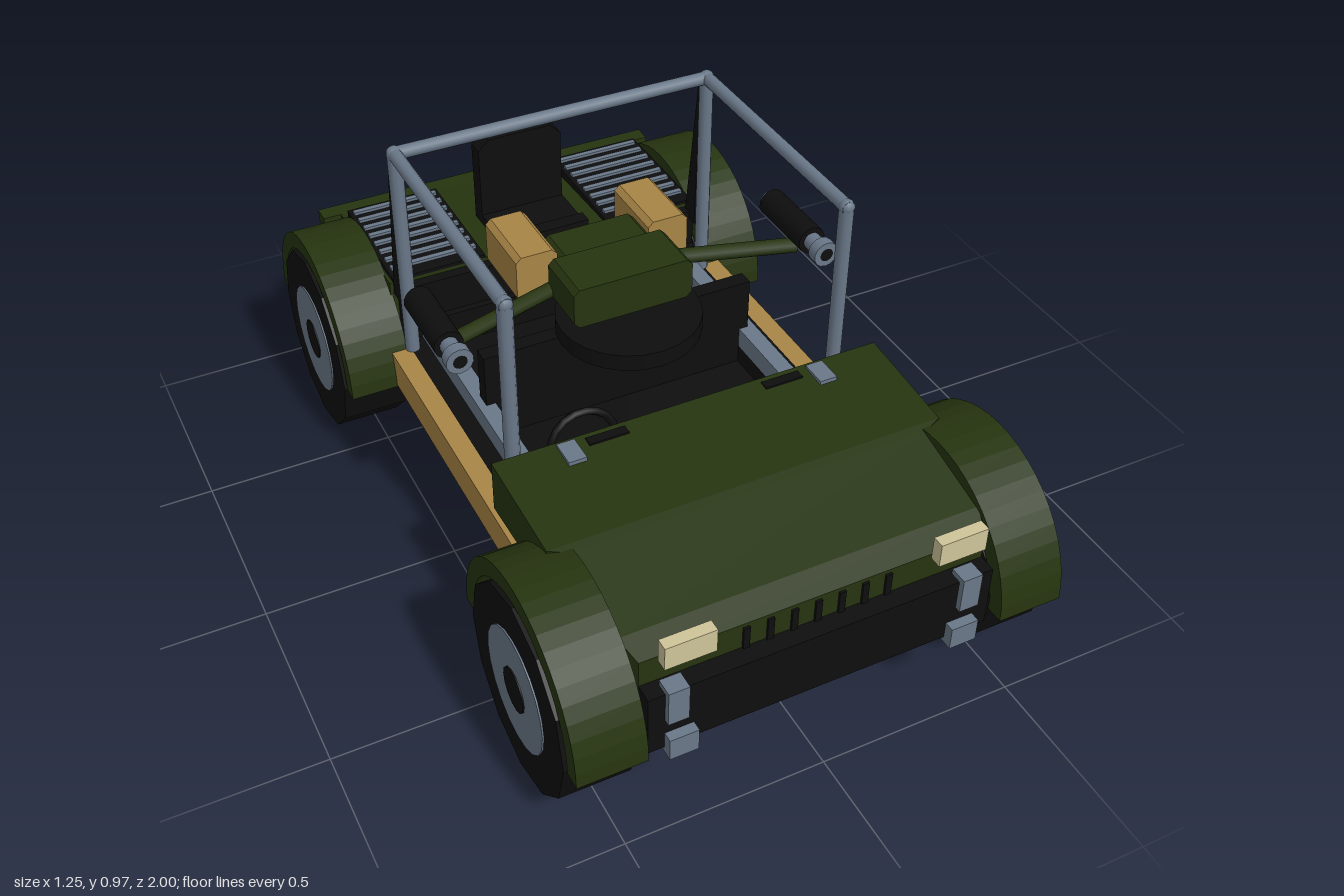
import * as THREE from 'three';

const paint = (name, color) => {
  const m = new THREE.MeshStandardMaterial({ color });
  m.name = name;
  return m;
};

export function createModel() {
  const green = paint('olive green', 0x26340f);
  const black = paint('black', 0x0e0e0e);
  const steel = paint('steel grey', 0x6a7889);
  const tan = paint('tan', 0xa88545);
  const cream = paint('lamp cream', 0xcfc59a);
  const red = paint('tail lamp red', 0x8a0c12);
  const model = new THREE.Group();
  model.name = 'buggy';

  const add = (name, geo, mat, x = 0, y = 0, z = 0) => {
    const m = new THREE.Mesh(geo, mat);
    m.name = name;
    m.position.set(x, y, z);
    model.add(m);
    return m;
  };
  // Box given by its limits on each axis
  const box = (name, mat, x0, x1, y0, y1, z0, z1) =>
    add(name, new THREE.BoxGeometry(Math.abs(x1 - x0), y1 - y0, z1 - z0), mat,
      (x0 + x1) / 2, (y0 + y1) / 2, (z0 + z1) / 2);
  // Round bar between two points
  const bar = (name, mat, a, b, r, sides = 10) => {
    const p = new THREE.Vector3(...a), q = new THREE.Vector3(...b);
    const m = add(name, new THREE.CylinderGeometry(r, r, p.distanceTo(q), sides), mat);
    m.position.copy(p).add(q).multiplyScalar(0.5);
    m.quaternion.setFromUnitVectors(new THREE.Vector3(0, 1, 0), q.sub(p).normalize());
    return m;
  };
  // Side profile in (z, y), extruded across x from x0 to x0 + width
  const sideExtrude = (shape, x0, width, curveSegments = 12) => {
    const g = new THREE.ExtrudeGeometry(shape, { depth: width, bevelEnabled: false, curveSegments });
    g.rotateY(-Math.PI / 2);
    g.translate(x0 + width, 0, 0);
    return g;
  };
  const polygon = (pts) => new THREE.Shape(pts.map((p) => new THREE.Vector2(...p)));
  // Box with cut corners along z
  const cutBox = (w, h, d, c) => {
    const x = w / 2, y = h / 2;
    const s = polygon([[-x + c, -y], [x - c, -y], [x, -y + c], [x, y - c],
      [x - c, y], [-x + c, y], [-x, y - c], [-x, -y + c]]);
    const g = new THREE.ExtrudeGeometry(s, { depth: d, bevelEnabled: false });
    g.translate(0, 0, -d / 2);
    return g;
  };
  // Panel body from sections [z, half width, top, bottom], z rising
  const loft = (sections) => {
    const pos = [], idx = [];
    for (const [z, w, t, b] of sections) pos.push(-w, b, z, w, b, z, w, t, z, -w, t, z);
    for (let i = 0; i < sections.length - 1; i++) {
      for (let j = 0; j < 4; j++) {
        const a = i * 4 + j, c = i * 4 + (j + 1) % 4;
        idx.push(a, c, c + 4, a, c + 4, a + 4);
      }
    }
    const n = (sections.length - 1) * 4;
    idx.push(0, 2, 1, 0, 3, 2, n, n + 1, n + 2, n, n + 2, n + 3);
    const g = new THREE.BufferGeometry();
    g.setAttribute('position', new THREE.Float32BufferAttribute(pos, 3));
    g.setIndex(idx);
    const flat = g.toNonIndexed();
    flat.computeVertexNormals();
    return flat;
  };

  // Chassis
  box('floor', black, -0.44, 0.44, 0.235, 0.3, -0.96, 0.96);
  box('frontChassis', black, -0.43, 0.43, 0.225, 0.39, 0.45, 0.965);
  box('rearChassis', black, -0.43, 0.43, 0.235, 0.395, -0.975, -0.45);
  box('rearBulkhead', black, -0.43, 0.43, 0.3, 0.5, -0.5, -0.47);

  // Bonnet and rear deck
  add('bonnet', loft([[0.33, 0.505, 0.565, 0.43], [0.62, 0.5, 0.545, 0.43],
    [0.64, 0.455, 0.54, 0.39], [0.86, 0.45, 0.485, 0.385], [0.92, 0.43, 0.46, 0.385]]), green);
  add('rearDeck', loft([[-0.955, 0.45, 0.46, 0.37], [-0.9, 0.45, 0.49, 0.37],
    [-0.5, 0.45, 0.51, 0.37]]), green);
  box('rearLip', green, -0.5, 0.5, 0.455, 0.49, -0.95, -0.9);
  for (let i = -3; i <= 3; i++) {
    box('grilleSlot', black, i * 0.059 - 0.008, i * 0.059 + 0.008, 0.36, 0.45, 0.918, 0.926);
  }

  // Wheels and mudguards
  const arch = new THREE.Shape();
  arch.absarc(0, 0, 0.3, 0, Math.PI, false);
  arch.absarc(0, 0, 0.255, Math.PI, 0, true);
  const disc = (r, w, n) => new THREE.CylinderGeometry(r, r, w, n).rotateZ(Math.PI / 2);
  const tyre = new THREE.CylinderGeometry(0.25, 0.25, 0.172, 12).rotateZ(Math.PI / 2);
  const tyreMat = black;

  for (const s of [-1, 1]) {
    for (const z of [-0.7, 0.7]) {
      const t = add('tyre', tyre, tyreMat, s * 0.531, 0.25, z);
      t.geometry = tyre.toNonIndexed();
      t.geometry.computeVertexNormals();
      add('rim', disc(0.15, 0.008, 20), steel, s * 0.617, 0.25, z);
      add('hub', disc(0.055, 0.008, 14), black, s * 0.62, 0.25, z);
      add('mudguard', sideExtrude(arch, s > 0 ? 0.445 : -0.611, 0.166), green, 0, 0.25, z);
      bar('suspensionArm', steel, [s * 0.445, 0.205, z], [s * 0.335, 0.155, z], 0.015);
    }

    // Sills and lower rails
    box('sill', tan, s * 0.435, s * 0.487, 0.255, 0.35, -0.48, 0.48);
    box('sillBase', black, s * 0.43, s * 0.48, 0.235, 0.255, -0.48, 0.48);
    box('lowerRail', steel, s * 0.345, s * 0.39, 0.35, 0.405, -0.5, 0.5);
    box('railWeb', black, s * 0.345, s * 0.435, 0.3, 0.35, -0.48, 0.48);

    // Roll cage
    bar('frontPost', steel, [s * 0.43, 0.35, 0.27], [s * 0.43, 0.945, 0.27], 0.019);
    bar('rearPost', steel, [s * 0.43, 0.35, -0.415], [s * 0.43, 0.945, -0.415], 0.019);
    bar('roofRail', steel, [s * 0.43, 0.945, 0.28], [s * 0.43, 0.945, -0.415], 0.018);
    add('cageJoint', new THREE.SphereGeometry(0.021, 10, 8), steel, s * 0.43, 0.945, -0.415);
    add('cageJoint', new THREE.SphereGeometry(0.02, 10, 8), steel, s * 0.43, 0.945, 0.27);
    add('postBrace', sideExtrude(polygon([[-0.425, 0.93], [-0.435, 0.93], [-0.495, 0.48], [-0.44, 0.48]]),
      s * 0.43 - 0.012, 0.024), black);

    // Lamps and brackets
    box('headLamp', cream, s * 0.273, s * 0.395, 0.47, 0.532, 0.938, 0.968);
    box('frontBracket', steel, s * 0.34, s * 0.39, 0.31, 0.405, 0.935, 0.98);
    box('towBracket', steel, s * 0.32, s * 0.39, 0.21, 0.27, 0.945, 0.99);
    box('tailLamp', red, s * 0.3, s * 0.375, 0.37, 0.41, -0.985, -0.955);
    box('rearBracket', steel, s * 0.335, s * 0.38, 0.31, 0.365, -0.985, -0.965);
    box('bonnetHinge', steel, s * 0.305, s * 0.35, 0.545, 0.57, 0.34, 0.41);
    box('bonnetSlot', black, s * 0.18, s * 0.28, 0.55, 0.567, 0.345, 0.37);

    // Deck vents
    box('ventBase', black, s * 0.18, s * 0.44, 0.49, 0.52, -0.865, -0.5);
    for (let i = 0; i < 8; i++) {
      const z = -0.84 + i * 0.042;
      box('ventSlat', steel, s * 0.19, s * 0.43, 0.515, 0.528, z - 0.008, z + 0.008);
    }

    // Launcher pods on swept arms
    bar('launcherArm', green, [s * 0.13, 0.645, -0.125], [s * 0.485, 0.645, -0.02], 0.02, 8);
    const tube = (name, r, z0, z1, mat) =>
      bar(name, mat, [s * 0.487, 0.7, z0], [s * 0.487, 0.7, z1], r, 14);
    tube('launcherBody', 0.037, -0.15, 0.05, black);
    tube('launcherCap', 0.028, -0.162, -0.15, steel);
    tube('launcherNeck', 0.023, 0.05, 0.09, steel);
    tube('launcherMuzzle', 0.034, 0.09, 0.12, steel);
    add('muzzleBore', new THREE.CircleGeometry(0.018, 14), black, s * 0.487, 0.7, 0.1215);

    add('ammoBox', cutBox(0.11, 0.13, 0.195, 0.014), tan, s * 0.18, 0.677, -0.24);
    bar('floorPeg', steel, [s * 0.235, 0.155, 0.03], [s * 0.235, 0.24, 0.03], 0.02);
  }
  bar('cageCrossbar', steel, [-0.43, 0.945, -0.415], [0.43, 0.945, -0.415], 0.018);
  bar('floorPeg', steel, [0, 0.155, -0.41], [0, 0.24, -0.41], 0.02);

  // Rear seat
  const back = polygon([[-0.12, 0.5], [0.12, 0.5], [0.12, 0.73], [0.09, 0.76], [-0.09, 0.76], [-0.12, 0.73]]);
  add('seatBack', new THREE.ExtrudeGeometry(back, { depth: 0.05, bevelEnabled: false }), black, 0, 0, -0.715);
  box('seatBase', black, -0.12, 0.12, 0.49, 0.53, -0.7, -0.49);
  box('seatFrontEdge', black, -0.12, 0.12, 0.49, 0.55, -0.53, -0.49);

  // Cabin divider and turret
  box('cabinDivider', black, -0.37, 0.37, 0.3, 0.55, -0.087, -0.045);
  add('turntable', new THREE.CylinderGeometry(0.183, 0.183, 0.045, 24), black, 0, 0.585, 0);
  box('turretNeck', black, -0.13, 0.13, 0.6, 0.63, -0.2, 0.0);
  add('turretBody', cutBox(0.32, 0.11, 0.15, 0.015), green, 0, 0.677, -0.045);
  add('turretRear', cutBox(0.25, 0.1, 0.12, 0.015), green, 0, 0.675, -0.17);

  // Steering wheel
  const wheel = add('steeringWheel', new THREE.TorusGeometry(0.085, 0.01, 6, 18), black, -0.24, 0.46, 0.245);
  wheel.rotation.x = -0.15;
  bar('steeringColumn', black, [-0.24, 0.46, 0.245], [-0.24, 0.48, 0.34], 0.012, 8);
  bar('steeringSpoke', black, [-0.32, 0.46, 0.245], [-0.16, 0.46, 0.245], 0.008, 6);

  return model;
}
